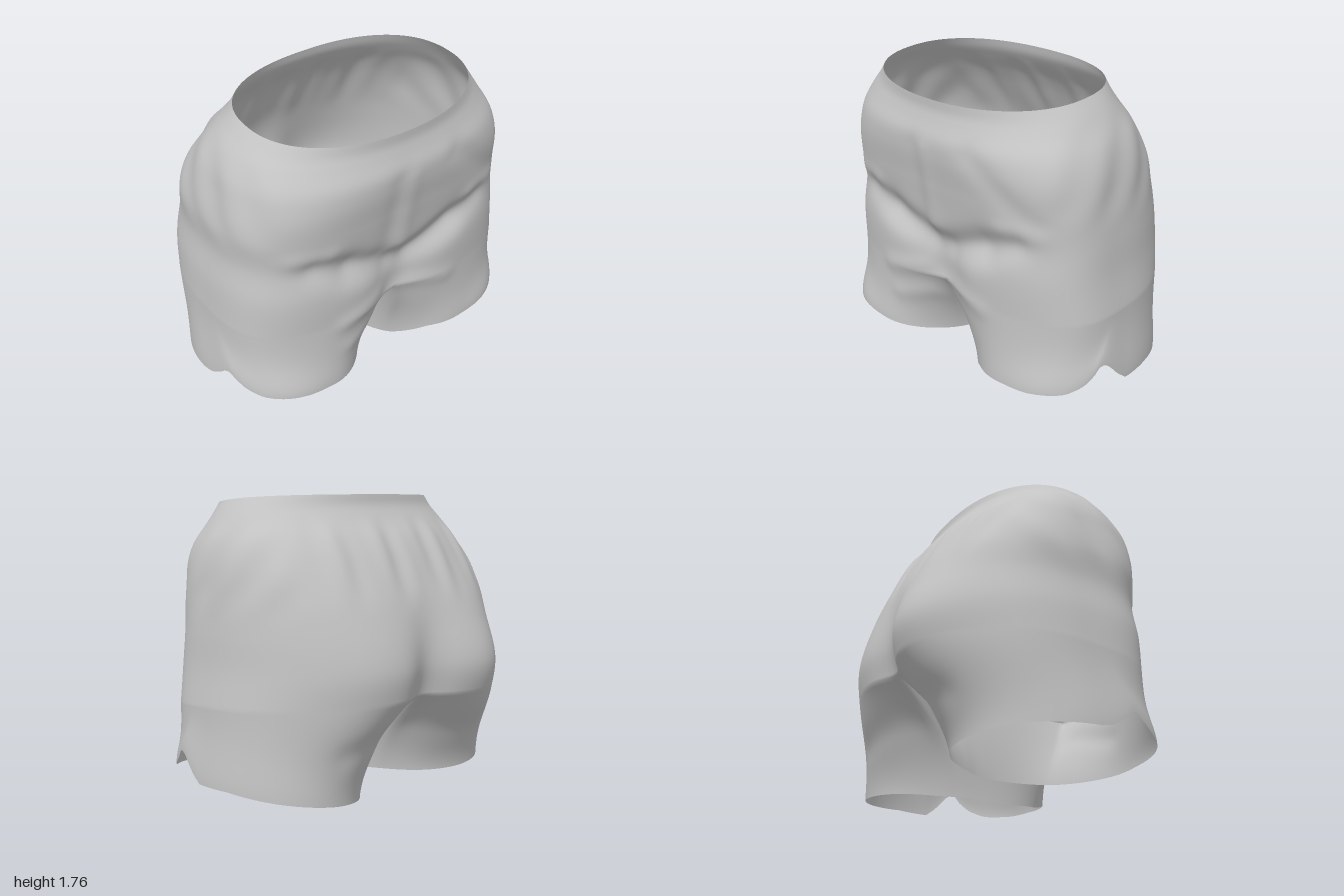
import * as THREE from 'three';
import { mergeVertices } from 'three/addons/utils/BufferGeometryUtils.js';

const HALF = 90;        // columns from front centre to back centre
const INNER = 26;       // columns along the crotch seam
const TORSO_ROWS = 64, BAND_ROWS = 6, LEG_ROWS = 36;
const CROTCH = 0.6, WAIST = 1.72;
const { lerp, smoothstep, degToRad } = THREE.MathUtils;

// height, left half width, right half width, front z, back z
const PROFILE = [
  [0.6, 0.965, 0.965, 0.68, -0.585],
  [0.8, 0.935, 0.95, 0.69, -0.605],
  [1.0, 0.92, 0.92, 0.675, -0.59],
  [1.2, 0.90, 0.925, 0.70, -0.545],
  [1.4, 0.87, 0.885, 0.73, -0.455],
  [1.5, 0.835, 0.855, 0.73, -0.39],
  [1.6, 0.775, 0.80, 0.70, -0.305],
  [1.66, 0.735, 0.75, 0.685, -0.265],
  [1.72, 0.69, 0.70, 0.685, -0.25],
];
const profile = new THREE.CubicInterpolant(
  PROFILE.map((r) => r[0]), PROFILE.flatMap((r) => r.slice(1)), 4, new Float32Array(4));

// Hem height by angle round the leg: 0 is the outer side, 90 the front
const HEM_ANGLES = [-180, -140, -90, -50, -20, 0, 8, 16, 22, 27, 34, 45, 70, 90, 120, 148, 180];
const hemCurve = (heights) => new THREE.LinearInterpolant(HEM_ANGLES, heights, 1, new Float32Array(1));
const HEMS = {
  left: hemCurve([0, 0.02, 0.07, 0.12, 0.16, 0.165, 0.22, 0.3, 0.33, 0.27, 0.22, 0.18, 0.155, 0.145, 0.12, 0.04, 0]),
  right: hemCurve([0.1, 0.1, 0.1, 0.11, 0.12, 0.13, 0.15, 0.21, 0.27, 0.24, 0.2, 0.17, 0.16, 0.15, 0.13, 0.11, 0.1]),
};

// Radius of a unit superellipse in a given direction
const squircle = (c, s, n) => Math.pow(Math.abs(c) ** n + Math.abs(s) ** n, -1 / n);

// Gaussian fold along a line, and a round bulge
function fold(x, y, x0, y0, x1, y1, width, amount) {
  const dx = x1 - x0, dy = y1 - y0;
  const k = THREE.MathUtils.clamp(((x - x0) * dx + (y - y0) * dy) / (dx * dx + dy * dy), 0, 1);
  const d = Math.hypot(x - x0 - k * dx, y - y0 - k * dy) / width;
  return amount * Math.exp(-d * d);
}
const bulge = (x, y, cx, cy, radius, amount) =>
  amount * Math.exp(-((x - cx) ** 2 + (y - cy) ** 2) / (radius * radius));

function frontFolds(x, y) {
  let d = fold(x, y, -0.02, 0.95, -0.02, 1.4, 0.06, 0.014)      // fly
    + fold(x, y, -0.11, 0.95, -0.07, 1.4, 0.08, -0.014)
    + bulge(x, y, 0, 0.64, 0.2, -0.09)                          // pull at the crotch
    + fold(x, y, 0.32, 1.45, 0.7, 1.12, 0.07, -0.012)
    + fold(x, y, -0.15, 0.62, -0.4, 0.56, 0.06, 0.014)
    + fold(x, y, -0.15, 0.42, -0.35, 0.37, 0.06, 0.01)
    + fold(x, y, 0.12, 0.58, 0.35, 0.54, 0.06, 0.01);
  for (const s of [-1, 1]) {
    // groin creases, deepest towards the middle
    d += fold(x, y, s * 0.08, 0.82, s * 0.35, 0.92, 0.1, -0.04)
      + fold(x, y, s * 0.1, 0.84, s * 0.58, 1.0, 0.08, -0.025)
      + fold(x, y, s * 0.5, 1.07, s * 0.7, 1.08, 0.06, 0.014);
  }
  return d;
}

function backFolds(x, y) {
  const gather = smoothstep(y, 1.1, 1.4) * (1 - smoothstep(y, 1.5, 1.66));
  const cleft = Math.exp(-((x / 0.13) ** 2)) * (1 - smoothstep(y, 0.6, 1.25));
  let d = bulge(x, y, -0.43, 0.73, 0.38, 0.15) + bulge(x, y, 0.36, 0.72, 0.36, 0.07) - 0.08 * cleft
    + gather * 0.009 * (Math.sin(24 * x + 2 * y) + 0.5 * Math.sin(41 * x + 1));
  for (const s of [-1, 1]) d += fold(x, y, s * 0.15, 0.42, s * 0.5, 0.36, 0.08, -0.012);
  return d;
}

// Push a point of the cloth outwards by the folds on its side
function drape([x, y, z]) {
  const front = smoothstep(z, 0.2, 0.5), back = smoothstep(-z, 0.05, 0.3);
  const side = smoothstep(Math.abs(x), 0.6, 0.8) * smoothstep(y, 1.05, 1.3) * (1 - smoothstep(y, 1.5, 1.66));
  return [
    x + Math.sign(x) * side * 0.006 * Math.sin(22 * z + 10 * y),
    y,
    z + front * frontFolds(x, y) - back * backFolds(x, y),
  ];
}

// Point of the body at angle a (0 front centre, turning to the left side)
function torsoPoint(a, h) {
  const [left, right, zFront, zBack] = profile.evaluate(h);
  const s = Math.sin(a), c = Math.cos(a);
  const top = smoothstep(h, 1.2, WAIST);
  const zc = lerp(s > 0 ? 0.17 : 0.05, 0.22, top);
  const nBack = s > 0 ? 2.3 : lerp(2.6, 2.3, top);
  const n = c > 0 ? lerp(3.2, 2.2, top) : nBack;
  const r = squircle(c, s, n);
  const tilt = 0.0375 * top + 0.03 * (1 - smoothstep(h, CROTCH, 0.9));
  return [
    (s > 0 ? left : right) * r * s,
    h - tilt * c + 0.012 * top * s * s,
    zc + r * c * (c > 0 ? zFront - zc : zc - zBack),
  ];
}

// Point of a leg: column i round it, t from the crotch down to the hem
function legPoint(sign, i, t) {
  let start, deg, inner = 1;
  if (i <= HALF) {
    start = torsoPoint(sign * Math.PI * i / HALF, CROTCH);
    deg = lerp(150, -150, i / HALF);
    inner = 1 - smoothstep(Math.min(i, HALF - i), 0, 22);
  } else {
    const v = (i - HALF) / INNER;
    const b = torsoPoint(Math.PI, CROTCH), f = torsoPoint(0, CROTCH);
    start = [0, lerp(b[1], f[1], v) - 0.05 * Math.sin(Math.PI * v), lerp(b[2], f[2], v)];
    deg = lerp(-150, -210, v);
  }
  const c = Math.cos(degToRad(deg)), s = Math.sin(degToRad(deg));
  // rounder towards the inner thigh and the back
  const n = 2.05 + 0.4 * smoothstep(s, -0.2, 0.6) * smoothstep(c, -0.6, 0.4);
  const r = squircle(c, s, n);
  const zc = sign > 0 ? 0.18 : 0.08;
  const hem = (sign > 0 ? HEMS.left : HEMS.right).evaluate(deg < -180 ? deg + 360 : deg)[0];
  // the inner thighs part at once, the outside follows the body
  const k = lerp(smoothstep(t ** 1.3, 0, 1), t * (1.7 - 0.7 * t), inner);
  return [
    lerp(start[0], sign * (0.525 + 0.475 * r * c), k),
    lerp(start[1], hem, t),
    lerp(start[2], zc + r * s * (s > 0 ? 0.68 - zc : zc + 0.44), k),
  ];
}

export function createModel() {
  const positions = [], indices = [], parts = [];

  // Closed rings joined row by row into one part of the cloth
  function addTube(name, rows, cols, point, flip = false) {
    const base = positions.length / 3, first = indices.length;
    for (let j = 0; j <= rows; j++) {
      for (let i = 0; i < cols; i++) {
        positions.push(...drape(point(i, j)).map((v) => Math.round(v * 1e5) / 1e5));
      }
    }
    for (let j = 0; j < rows; j++) {
      for (let i = 0; i < cols; i++) {
        const a = base + j * cols + i, b = base + j * cols + (i + 1) % cols;
        const c = a + cols, d = b + cols;
        indices.push(...(flip ? [a, b, c, b, d, c] : [a, c, b, b, c, d]));
      }
    }
    parts.push([name, first, indices.length]);
  }

  const bandBottom = 1.63;
  const angle = (i) => Math.PI * i / HALF;
  addTube('waistband', BAND_ROWS, 2 * HALF,
    (i, j) => torsoPoint(angle(i), lerp(WAIST, bandBottom, j / BAND_ROWS)));
  addTube('seat', TORSO_ROWS, 2 * HALF,
    (i, j) => torsoPoint(angle(i), lerp(bandBottom, CROTCH, j / TORSO_ROWS)));
  for (const [name, sign] of [['leftLeg', 1], ['rightLeg', -1]]) {
    addTube(name, LEG_ROWS, HALF + INNER, (i, j) => legPoint(sign, i, j / LEG_ROWS), sign < 0);
  }

  // Weld the parts so that the shading runs smoothly across the seams
  let cloth = new THREE.BufferGeometry();
  cloth.setAttribute('position', new THREE.Float32BufferAttribute(positions, 3));
  cloth.setIndex(indices);
  cloth = mergeVertices(cloth, 1e-5);
  cloth.computeVertexNormals();

  const fabric = new THREE.MeshStandardMaterial({ color: 0xc4c4c4, side: THREE.DoubleSide });
  fabric.name = 'grey fabric';
  const group = new THREE.Group();
  group.name = 'shorts';
  for (const [name, first, last] of parts) {
    const geometry = new THREE.BufferGeometry();
    geometry.setAttribute('position', cloth.attributes.position);
    geometry.setAttribute('normal', cloth.attributes.normal);
    geometry.setIndex(Array.from(cloth.index.array.slice(first, last)));
    const mesh = new THREE.Mesh(geometry, fabric);
    mesh.name = name;
    group.add(mesh);
  }
  return group;
}
